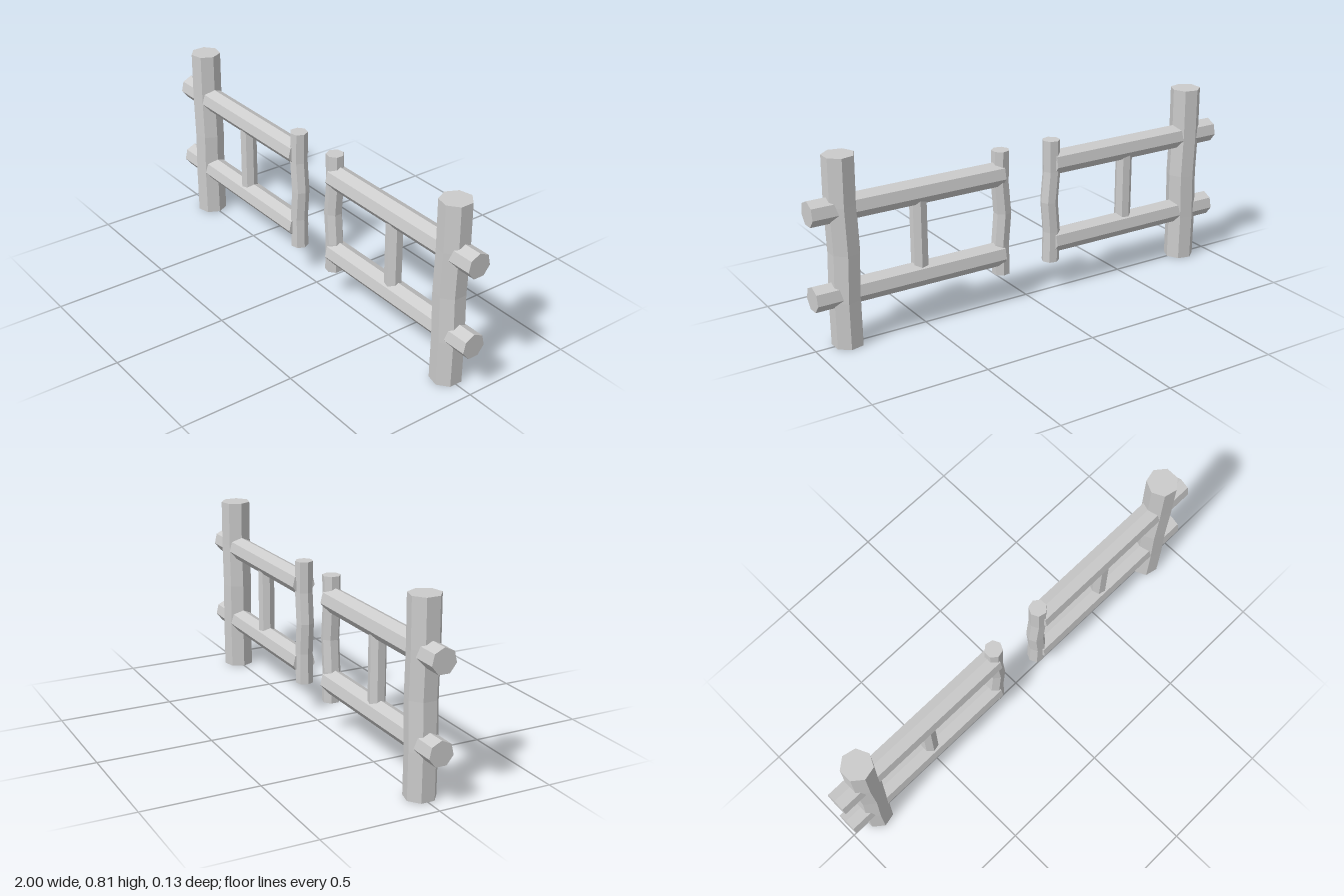
import * as THREE from 'three';

const SIDES = 7;
const material = new THREE.MeshStandardMaterial({ color: 0xcccccc, flatShading: true });

// Upright seven-sided log from y0 to y1, one corner towards -x, bowed along x by the given amount
function upright(name, x, y0, y1, radius, bow) {
  const h = y1 - y0;
  const offsets = [0, 0.35, -1, 0.35, 0];
  const geo = new THREE.CylinderGeometry(radius, radius, h, SIDES, bow ? 4 : 1, false, -Math.PI / 2);
  if (bow) {
    const pos = geo.attributes.position;
    for (let i = 0; i < pos.count; i++) {
      const ring = Math.round((pos.getY(i) / h + 0.5) * 4);
      pos.setX(i, pos.getX(i) + bow * offsets[ring]);
    }
  }
  geo.translate(x, (y0 + y1) / 2, 0);
  const mesh = new THREE.Mesh(geo, material);
  mesh.name = name;
  return mesh;
}

// Horizontal seven-sided log along x, one corner pointing up
function rail(name, x0, x1, y, radius) {
  const geo = new THREE.CylinderGeometry(radius, radius, x1 - x0, SIDES, 1, false, Math.PI / 2);
  geo.rotateZ(Math.PI / 2);
  geo.translate((x0 + x1) / 2, y, 0);
  const mesh = new THREE.Mesh(geo, material);
  mesh.name = name;
  return mesh;
}

// One fence half on the +x side
function fenceHalf(name) {
  const half = new THREE.Group();
  half.name = name;
  half.add(
    upright('mainPost', 0.857, 0, 0.808, 0.067, 0.005),
    upright('endPole', 0.127, 0.137, 0.692, 0.039, 0.009),
    upright('baluster', 0.518, 0.23, 0.59, 0.037, 0),
    rail('upperRail', 0.13, 1, 0.589, 0.054),
    rail('lowerRail', 0.13, 1, 0.229, 0.054)
  );
  return half;
}

export function createModel() {
  const model = new THREE.Group();
  model.name = 'logFence';
  const left = fenceHalf('leftFence');
  // The other half is the same piece turned around
  const right = fenceHalf('rightFence');
  right.rotation.y = Math.PI;
  model.add(left, right);
  return model;
}
